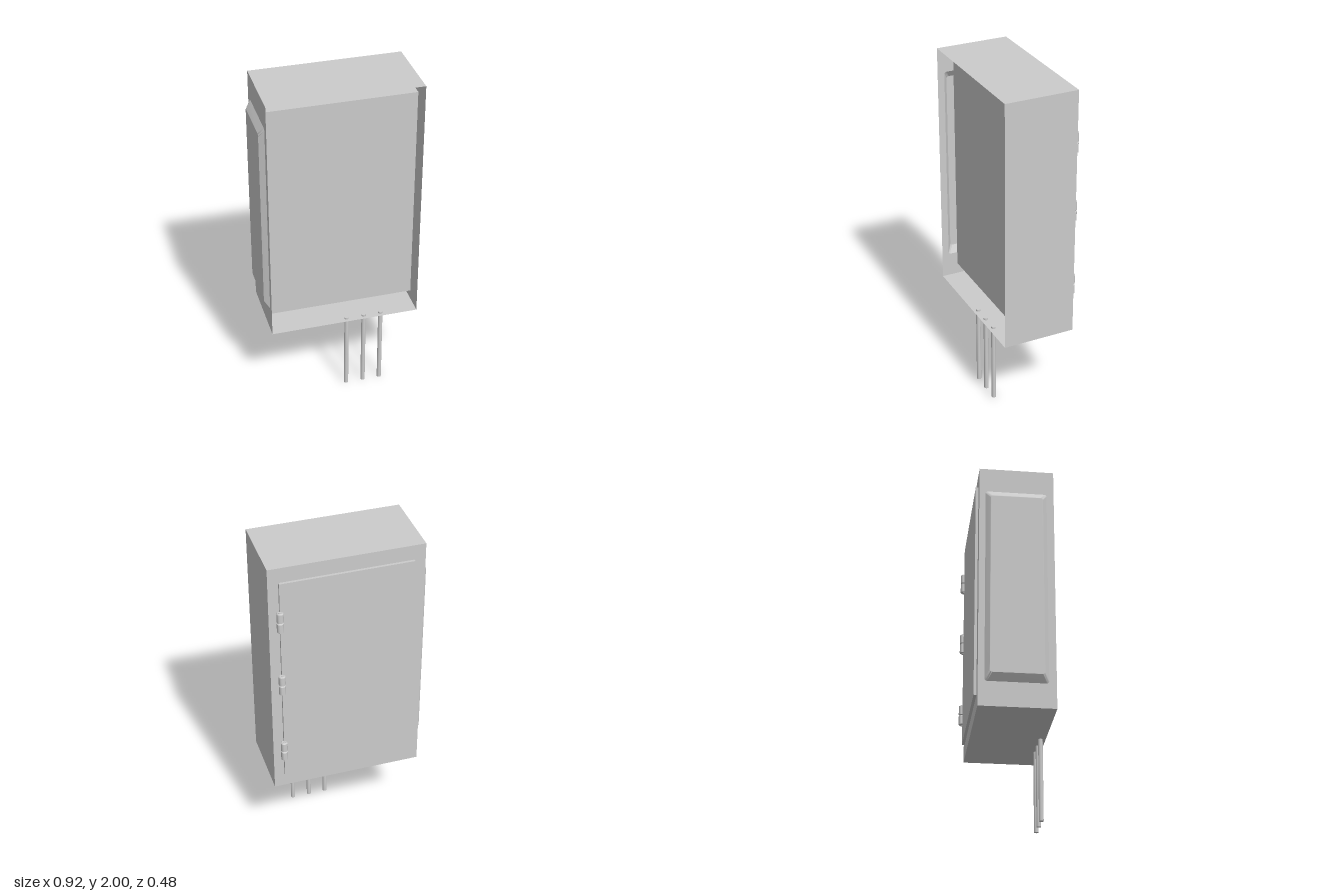
import * as THREE from 'three';
import { toCreasedNormals } from 'three/addons/utils/BufferGeometryUtils.js';

const mat = new THREE.MeshStandardMaterial({ color: 0xcccccc });
const sheetMat = new THREE.MeshStandardMaterial({ color: 0xcccccc, side: THREE.DoubleSide });

// Cabinet extents
const L = -0.43, R = 0.46, BOTTOM = 0.49, TOP = 2, BACK = -0.2, FRONT = 0.237;
const W = R - L, H = TOP - BOTTOM, D = FRONT - BACK;
const CX = (L + R) / 2, CY = (BOTTOM + TOP) / 2, CZ = (BACK + FRONT) / 2;

function add(parent, name, geometry, x = 0, y = 0, z = 0, material = mat) {
  const mesh = new THREE.Mesh(geometry, material);
  mesh.name = name;
  mesh.position.set(x, y, z);
  parent.add(mesh);
  return mesh;
}

// Box given by its minimum and maximum corners
function addBox(parent, name, [x0, y0, z0], [x1, y1, z1]) {
  return add(parent, name, new THREE.BoxGeometry(x1 - x0, y1 - y0, z1 - z0),
    (x0 + x1) / 2, (y0 + y1) / 2, (z0 + z1) / 2);
}

// Rounded rectangle, drawn counter-clockwise
function roundedRect(x0, y0, x1, y1, r) {
  const s = new THREE.Shape();
  s.absarc(x1 - r, y0 + r, r, -Math.PI / 2, 0);
  s.absarc(x1 - r, y1 - r, r, 0, Math.PI / 2);
  s.absarc(x0 + r, y1 - r, r, Math.PI / 2, Math.PI);
  s.absarc(x0 + r, y0 + r, r, Math.PI, Math.PI * 1.5);
  return s.closePath();
}

// Raised panel facing -x: a slope between two matching outlines, closed by a
// flat face that shares its rim so the shading runs softly across the edge
function raisedPanel(a, xa, b, xb) {
  const positions = [], index = [], n = a.length;
  a.forEach((p, i) => positions.push(xa, p.y, p.x, xb, b[i].y, b[i].x));
  for (let i = 0; i < n; i++) {
    const j = (i + 1) % n;
    index.push(2 * i, 2 * j, 2 * i + 1, 2 * j, 2 * j + 1, 2 * i + 1);
  }
  for (const [i, j, k] of THREE.ShapeUtils.triangulateShape(b, [])) {
    index.push(2 * i + 1, 2 * j + 1, 2 * k + 1);
  }
  const g = new THREE.BufferGeometry();
  g.setAttribute('position', new THREE.Float32BufferAttribute(positions, 3));
  g.setIndex(index);
  g.computeVertexNormals();
  return g;
}

export function createModel() {
  const model = new THREE.Group();
  model.name = 'utilityCabinet';

  // Thin shell, open at the front
  const shell = new THREE.Group();
  shell.name = 'shell';
  model.add(shell);
  const wall = (name, w, h, x, y, z, rx, ry) =>
    add(shell, name, new THREE.PlaneGeometry(w, h).rotateX(rx).rotateY(ry), x, y, z, sheetMat);
  wall('roof', W, D, CX, TOP, CZ, -Math.PI / 2, 0);
  wall('floor', W, D, CX, BOTTOM, CZ, Math.PI / 2, 0);
  wall('doorWall', W, H, CX, CY, BACK, 0, Math.PI);
  wall('plainSide', D, H, R, CY, CZ, 0, Math.PI / 2);

  // Side wall pressed outwards into a shallow bulge
  const base = roundedRect(-0.163, 0.638, 0.195, 1.847, 0.015).getPoints(4).slice(0, -1);
  const outer = roundedRect(-0.137, 0.68, 0.17, 1.805, 0.015).getPoints(4).slice(0, -1);
  const side = new THREE.Shape();
  side.moveTo(BACK, BOTTOM).lineTo(FRONT, BOTTOM).lineTo(FRONT, TOP).lineTo(BACK, TOP).closePath();
  side.holes.push(new THREE.Path(base));
  add(shell, 'bulgedSide', new THREE.ShapeGeometry(side).rotateY(-Math.PI / 2), L, 0, 0, sheetMat);
  add(shell, 'bulge', raisedPanel(base, L, outer, -0.46), 0, 0, 0, sheetMat);

  // Inner body, set back from the open front
  addBox(model, 'innerBody', [-0.412, 0.57, BACK + 0.005], [0.449, 1.92, 0.145]);

  // Door and its hinges, each made of two chamfered knuckles
  addBox(model, 'door', [-0.365, 0.58, -0.216], [0.4, 1.91, BACK]);
  const profile = [[0, -0.032], [0.014, -0.032], [0.02, -0.027], [0.02, 0.027], [0.014, 0.032], [0, 0.032]]
    .map(([x, y]) => new THREE.Vector2(x, y));
  const knuckle = toCreasedNormals(new THREE.LatheGeometry(profile, 16), 0.6);
  for (const y of [1.668, 1.246, 0.768]) {
    const hinge = new THREE.Group();
    hinge.name = 'hinge';
    hinge.position.set(0.4, y, -0.218);
    model.add(hinge);
    for (const s of [-1, 1]) add(hinge, 'hingeKnuckle', knuckle, 0, s * 0.032, 0);
    add(hinge, 'hingePin', new THREE.CylinderGeometry(0.01, 0.01, 0.134, 12));
  }

  // Conduits running through the floor to the ground
  for (const x of [0.031, 0.137, 0.242]) {
    add(model, 'conduit', new THREE.CylinderGeometry(0.0135, 0.0135, 0.502, 12), x, 0.251, 0.207);
  }
  return model;
}
